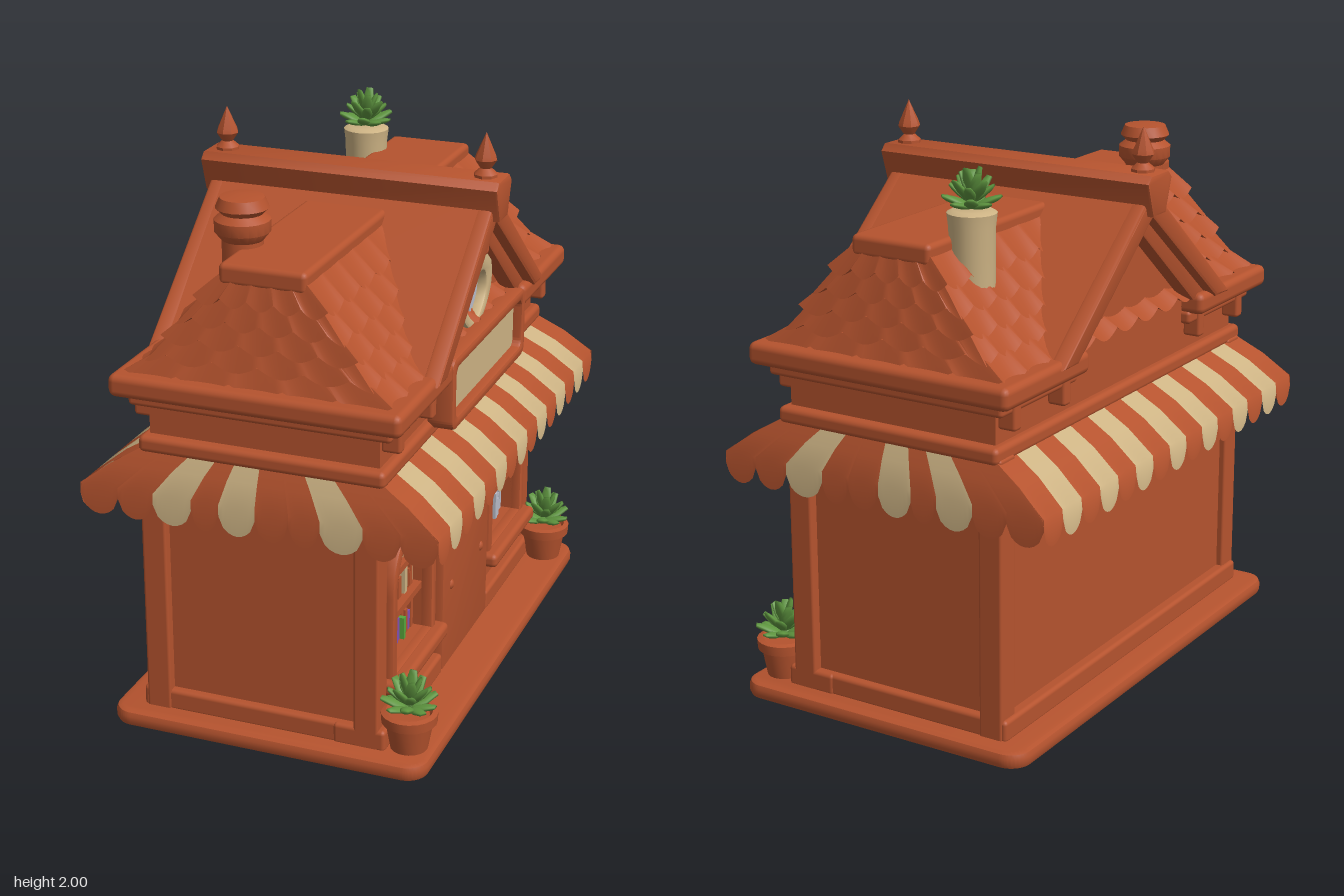
import * as THREE from 'three';
import { toCreasedNormals } from 'three/addons/utils/BufferGeometryUtils.js';
import { RoundedBoxGeometry } from 'three/addons/geometries/RoundedBoxGeometry.js';

const mat = (name, color, side = THREE.FrontSide) => {
  const m = new THREE.MeshStandardMaterial({ color, side });
  m.name = name;
  return m;
};

export function createModel() {
  const brick = mat('brick red', 0xb5532e, THREE.DoubleSide);
  const cream = mat('cream', 0xcdb384, THREE.DoubleSide);
  const green = mat('door green', 0x2f7a45);
  const leafGreen = mat('leaf green', 0x5f9640);
  const pale = mat('pale grey', 0xb9bcc8);
  const purple = mat('purple', 0x8450b4);
  const lime = mat('book green', 0x58a53c);

  // Built with the shop front facing +z, then turned to face +x
  const shop = new THREE.Group();
  shop.name = 'shop';
  const add = (name, geo, m, parent = shop) => {
    const mesh = new THREE.Mesh(geo, m);
    mesh.name = name;
    parent.add(mesh);
    return mesh;
  };
  const group = (name) => {
    const g = new THREE.Group();
    g.name = name;
    shop.add(g);
    return g;
  };
  // Box given by its limits on each axis
  const box = (name, x0, x1, y0, y1, z0, z1, m = brick, r = 0) => {
    const s = [x1 - x0, y1 - y0, z1 - z0];
    const g = r ? new RoundedBoxGeometry(...s, 2, r) : new THREE.BoxGeometry(...s);
    g.translate((x0 + x1) / 2, (y0 + y1) / 2, (z0 + z1) / 2);
    return add(name, g, m);
  };
  const extrude = (name, shape, z0, z1, m = brick, bevel = 0) => {
    const g = new THREE.ExtrudeGeometry(shape, {
      depth: z1 - z0 - 2 * bevel, bevelEnabled: bevel > 0, bevelSize: bevel, bevelOffset: -bevel,
      bevelThickness: bevel, bevelSegments: 2, curveSegments: 14,
    });
    g.translate(0, 0, z0 + bevel);
    return add(name, toCreasedNormals(g, 0.6), m);
  };
  const poly = (pts) => new THREE.Shape(pts.map((p) => new THREE.Vector2(...p)));
  const arch = (cx, hw, y0, ys) => {
    const s = new THREE.Shape();
    s.moveTo(cx - hw, y0).lineTo(cx + hw, y0).lineTo(cx + hw, ys);
    s.absarc(cx, ys, hw, 0, Math.PI, false);
    s.lineTo(cx - hw, y0);
    return s;
  };
  const roundRect = (x0, x1, y0, y1, r) => {
    const s = new THREE.Shape();
    s.absarc(x1 - r, y0 + r, r, -Math.PI / 2, 0, false);
    s.absarc(x1 - r, y1 - r, r, 0, Math.PI / 2, false);
    s.absarc(x0 + r, y1 - r, r, Math.PI / 2, Math.PI, false);
    s.absarc(x0 + r, y0 + r, r, Math.PI, Math.PI * 1.5, false);
    return s;
  };
  const ring = (outer, inner) => { outer.holes.push(inner); return outer; };
  const lathe = (name, pts, x, z, m = brick, seg = 20) => {
    const g = new THREE.LatheGeometry(pts.map((p) => new THREE.Vector2(...p)), seg);
    return add(name, toCreasedNormals(g, 0.7).translate(x, 0, z), m);
  };

  // Base slab and plinth
  extrude('baseSlab', roundRect(-0.93, 0.93, -0.6, 0.56, 0.08), 0, 0.06, brick, 0.02).rotation.x = -Math.PI / 2;
  box('plinth', -0.85, 0.85, 0.05, 0.13, -0.46, 0.30, brick, 0.015);
  for (const s of [-1, 1]) {
    const c = s * 0.555;
    box('frontPlinth', c - 0.3, c + 0.3, 0.05, 0.13, 0.25, 0.44, brick, 0.015);
  }

  // Lower storey with a front wall pierced for windows and door
  box('lowerWalls', -0.82, 0.82, 0.05, 1.05, -0.42, 0.3);
  const wall = poly([[-0.82, 0.05], [0.82, 0.05], [0.82, 1.05], [-0.82, 1.05]]);
  for (const c of [-0.525, 0.525]) wall.holes.push(arch(c, 0.175, 0.28, 0.58));
  extrude('frontWall', wall, 0.29, 0.395);
  for (const sx of [-1, 1]) for (const z of [-0.4, 0.37])
    box('cornerPillar', sx * 0.81 - 0.045, sx * 0.81 + 0.045, 0.05, 1.05, z - 0.045, z + 0.045, brick, 0.01);

  // Bookshop windows
  let seed = 7;
  const rnd = () => (seed = (seed * 16807) % 2147483647) / 2147483647;
  const bookMats = [pale, brick, purple, lime, pale, brick, cream];
  for (const c of [-0.525, 0.525]) {
    extrude('windowFrame', ring(arch(c, 0.22, 0.25, 0.58), arch(c, 0.175, 0.28, 0.58)), 0.38, 0.43, brick, 0.01);
    box('windowSill', c - 0.25, c + 0.25, 0.22, 0.275, 0.37, 0.47, brick, 0.02);
    for (const y of [0.43, 0.585]) box('shelf', c - 0.175, c + 0.175, y, y + 0.025, 0.29, 0.39);
    [[0.28, 0.165], [0.455, 0.165], [0.61, 0.11]].forEach(([y, hw]) => {
      for (let x = c - hw; x < c + hw - 0.012;) {
        const w = 0.014 + rnd() * 0.014;
        const h = 0.07 + rnd() * 0.04;
        box('book', x, x + w - 0.001, y, y + h, 0.3, 0.35 + rnd() * 0.02, bookMats[Math.floor(rnd() * 7)]);
        x += w;
      }
    });
  }

  // Arched door with four panes
  extrude('doorFrame', ring(arch(0, 0.255, 0.055, 0.58), arch(0, 0.2, 0.055, 0.58)), 0.37, 0.44, brick, 0.012);
  extrude('door', arch(0, 0.203, 0.055, 0.58), 0.37, 0.405, green);
  extrude('doorPanes', arch(0, 0.13, 0.36, 0.58), 0.404, 0.411, cream);
  box('doorMuntin', -0.016, 0.016, 0.35, 0.72, 0.4, 0.422, green);
  box('doorMuntin', -0.14, 0.14, 0.505, 0.535, 0.4, 0.422, green);
  for (const s of [-1, 1]) add('doorKnob', new THREE.SphereGeometry(0.024, 12, 8).translate(s * 0.168, 0.365, 0.425), brick);

  // Striped awning: each stripe is a sloping strip ending in a scallop
  const awning = group('awning');
  const stripe = (a, b, place, topScale, m) => {
    const n = 8, pos = [], idx = [];
    for (let i = 0; i <= n; i++) {
      const t = a + ((b - a) * i) / n;
      const drop = 0.865 - 0.065 * Math.sqrt(Math.max(0, Math.sin((Math.PI * i) / n)));
      pos.push(...place(t * topScale, 1.05, 0), ...place(t * (topScale + 1) / 2, 0.985, 0.52),
        ...place(t, 0.905, 0.98), ...place(t, drop, 1));
      if (i < n) for (let k = 0; k < 3; k++) {
        const p = i * 4 + k;
        idx.push(p, p + 1, p + 4, p + 1, p + 5, p + 4);
      }
    }
    const g = new THREE.BufferGeometry();
    g.setAttribute('position', new THREE.Float32BufferAttribute(pos, 3));
    g.setIndex(idx);
    g.computeVertexNormals();
    add('awningStripe', g, m, awning);
  };
  const W = 0.91, w = (2 * W) / 15;
  const ends = [-0.64, -0.5, -0.37, -0.23, -0.13, 0, 0.12, 0.23, 0.38, 0.51, 0.64];
  for (const s of [1, -1]) {
    for (let i = 0; i < 15; i++)
      stripe(s * (-W + i * w), s * (-W + (i + 1) * w), (t, y, d) => [t, y, s * (0.42 + 0.22 * d)], 0.94, i % 2 ? cream : brick);
    for (let i = 0; i < 10; i++)
      stripe(ends[i], ends[i + 1], (t, y, d) => [-s * (0.855 + 0.055 * d), y, t], 0.66, [2, 4, 7].includes(i) ? cream : brick);
  }

  // Upper storey and cornice, open in the middle of the front and back
  box('upperBand', -0.87, 0.87, 1.03, 1.09, -0.44, 0.44, brick, 0.02);
  box('upperWalls', -0.83, 0.83, 1.03, 1.27, -0.41, 0.41);
  box('corniceCore', -0.86, 0.86, 1.2, 1.31, -0.43, 0.43);
  for (const s of [-1, 1]) {
    const span = (a, b) => (s > 0 ? [a, b] : [-b, -a]);
    box('cornice', ...span(0.4, 0.93), 1.24, 1.32, -0.515, 0.515, brick, 0.025);
    box('corniceMoulding', ...span(0.4, 0.88), 1.2, 1.25, -0.465, 0.465, brick, 0.015);
    for (const x of [0.46, 0.77]) for (const f of [-1, 1])
      box('bracket', ...span(x, x + 0.045), 1.14, 1.25, f * 0.44 - 0.035, f * 0.44 + 0.035, brick, 0.012);
  }

  // Hipped roof in overlapping rows of scalloped shingles
  const roof = group('shingleRoof');
  const rows = [[0.875, 0.455, 1.31], [0.86, 0.385, 1.375], [0.85, 0.33, 1.44], [0.84, 0.28, 1.51], [0.83, 0.22, 1.585], [0.815, 0.155, 1.67]];
  for (let r = 0; r < 5; r++) {
    const [x0, z0, y0] = rows[r], [x1, z1, y1] = rows[r + 1];
    const pos = [], idx = [];
    const corners = [[-1, 1], [1, 1], [1, -1], [-1, -1]];
    corners.forEach((c, k) => {
      const d = corners[(k + 1) % 4];
      const n = k % 2 ? 40 : 96;
      for (let i = 0; i < n; i++) {
        const u = i / n, a = c[0] + (d[0] - c[0]) * u, b = c[1] + (d[1] - c[1]) * u;
        const lift = 0.03 * (1 - Math.abs(Math.sin((Math.PI * (i + (r % 2) * 4)) / 8)));
        pos.push(a * (x0 - 0.02), y0 + lift, b * (z0 - 0.02), a * (x0 + 0.008), y0 + lift - 0.012, b * (z0 + 0.016),
          a * (x1 - 0.006), y1 + 0.01, b * (z1 - 0.006));
      }
    });
    const total = pos.length / 9;
    for (let i = 0; i < total; i++) for (let k = 0; k < 2; k++) {
      const p = i * 3 + k, q = ((i + 1) % total) * 3 + k;
      idx.push(p, q, p + 1, q, q + 1, p + 1);
    }
    const g = new THREE.BufferGeometry();
    g.setAttribute('position', new THREE.Float32BufferAttribute(pos, 3));
    // Wind faces outward
    g.setIndex(idx.reverse());
    add('shingleRow', toCreasedNormals(g, 0.6), brick, roof);
  }
  box('roofCap', -0.82, 0.82, 1.64, 1.715, -0.155, 0.155, brick, 0.02);

  // Cross gable with bargeboards, ridge and finials
  extrude('gableWall', poly([[-0.5, 1.27], [0.5, 1.27], [0, 1.7]]), -0.42, 0.42);
  const chevron = (z, y, t) => poly([[-z, y], [-z + t * 0.95, y], [0, 1.79 - t * 0.95], [z - t * 0.95, y], [z, y], [0, 1.79]]);
  extrude('gableRoof', chevron(0.59, 1.3, 0.1), -0.5, 0.5);
  for (const s of [-1, 1]) {
    extrude('bargeboard', chevron(0.6, 1.295, 0.11), s * 0.495 - 0.03, s * 0.495 + 0.03, brick, 0.012);
    extrude('innerBargeboard', chevron(0.56, 1.3, 0.18), s * 0.455 - 0.03, s * 0.455 + 0.03, brick, 0.01);
    lathe('finial', [[0, 1.82], [0.042, 1.83], [0.042, 1.855], [0.02, 1.875], [0.04, 1.905], [0.036, 1.92], [0, 2]], 0, s * 0.48, brick, 8);
  }
  extrude('ridge', poly([[-0.045, 1.7], [0.045, 1.7], [0.085, 1.82], [0.06, 1.845], [-0.06, 1.845], [-0.085, 1.82]]), -0.55, 0.55, brick, 0.01);
  box('kingPost', -0.035, 0.035, 1.56, 1.72, 0.42, 0.49, brick, 0.012);

  // Heart window in the gable
  const heart = (k, cy) => {
    const s = new THREE.Shape();
    s.moveTo(0, cy - 0.9 * k);
    s.bezierCurveTo(0.5 * k, cy - 0.65 * k, k, cy - 0.35 * k, k, cy + 0.1 * k);
    s.bezierCurveTo(k, cy + 0.85 * k, 0.2 * k, cy + 0.8 * k, 0, cy + 0.42 * k);
    s.bezierCurveTo(-0.2 * k, cy + 0.8 * k, -k, cy + 0.85 * k, -k, cy + 0.1 * k);
    s.bezierCurveTo(-k, cy - 0.35 * k, -0.5 * k, cy - 0.65 * k, 0, cy - 0.9 * k);
    return s;
  };
  extrude('heartFrame', ring(heart(0.172, 1.425), heart(0.108, 1.41)), 0.41, 0.46, cream, 0.01);
  extrude('heartGlass', heart(0.112, 1.41), 0.415, 0.424, pale);
  box('heartMuntin', -0.007, 0.007, 1.32, 1.46, 0.42, 0.435, pale);

  // Blank sign board
  extrude('signFrame', ring(roundRect(-0.41, 0.41, 1.06, 1.32, 0.04), roundRect(-0.37, 0.37, 1.1, 1.28, 0.03)), 0.42, 0.515, brick, 0.012);
  box('signBoard', -0.38, 0.38, 1.09, 1.29, 0.41, 0.48, cream);

  // Leafy rosette
  const leaf = new THREE.SphereGeometry(1, 6, 5).scale(0.021, 0.01, 0.05).translate(0, 0, 0.05);
  const plant = (x, y, z) => {
    const g = group('plant');
    g.position.set(x, y, z);
    [[9, 0.25, 0], [8, 0.7, 0.4], [5, 1.15, 0.2]].forEach(([n, tilt, turn], k) => {
      for (let i = 0; i < n; i++) {
        const m = add('leaf', leaf, leafGreen, g);
        m.rotation.set(-tilt - 0.15 * (i % 2), (i / n) * Math.PI * 2 + turn, 0, 'YXZ');
        m.position.y = 0.015 * k;
        m.scale.setScalar(1.05 + 0.12 * (i % 2));
      }
    });
  };

  // Potted plants beside the shop front
  for (const s of [-1, 1]) {
    lathe('flowerPot', [[0, 0.055], [0.065, 0.06], [0.082, 0.155], [0.096, 0.16], [0.098, 0.195], [0.08, 0.2], [0.07, 0.185], [0, 0.185]], s * 0.79, 0.505);
    plant(s * 0.79, 0.205, 0.505);
  }

  // Chimneys
  lathe('redChimney', [[0.075, 1.4], [0.07, 1.73], [0.095, 1.76], [0.095, 1.8], [0.07, 1.82], [0.09, 1.84], [0.075, 1.875], [0, 1.885]], -0.6, -0.16);
  lathe('creamChimney', [[0.075, 1.4], [0.078, 1.74], [0.084, 1.79], [0.065, 1.8], [0, 1.79]], 0.62, -0.19, cream);
  plant(0.62, 1.805, -0.19);

  shop.rotation.y = Math.PI / 2;
  const model = new THREE.Group();
  model.name = 'bookshop';
  model.add(shop);
  return model;
}
